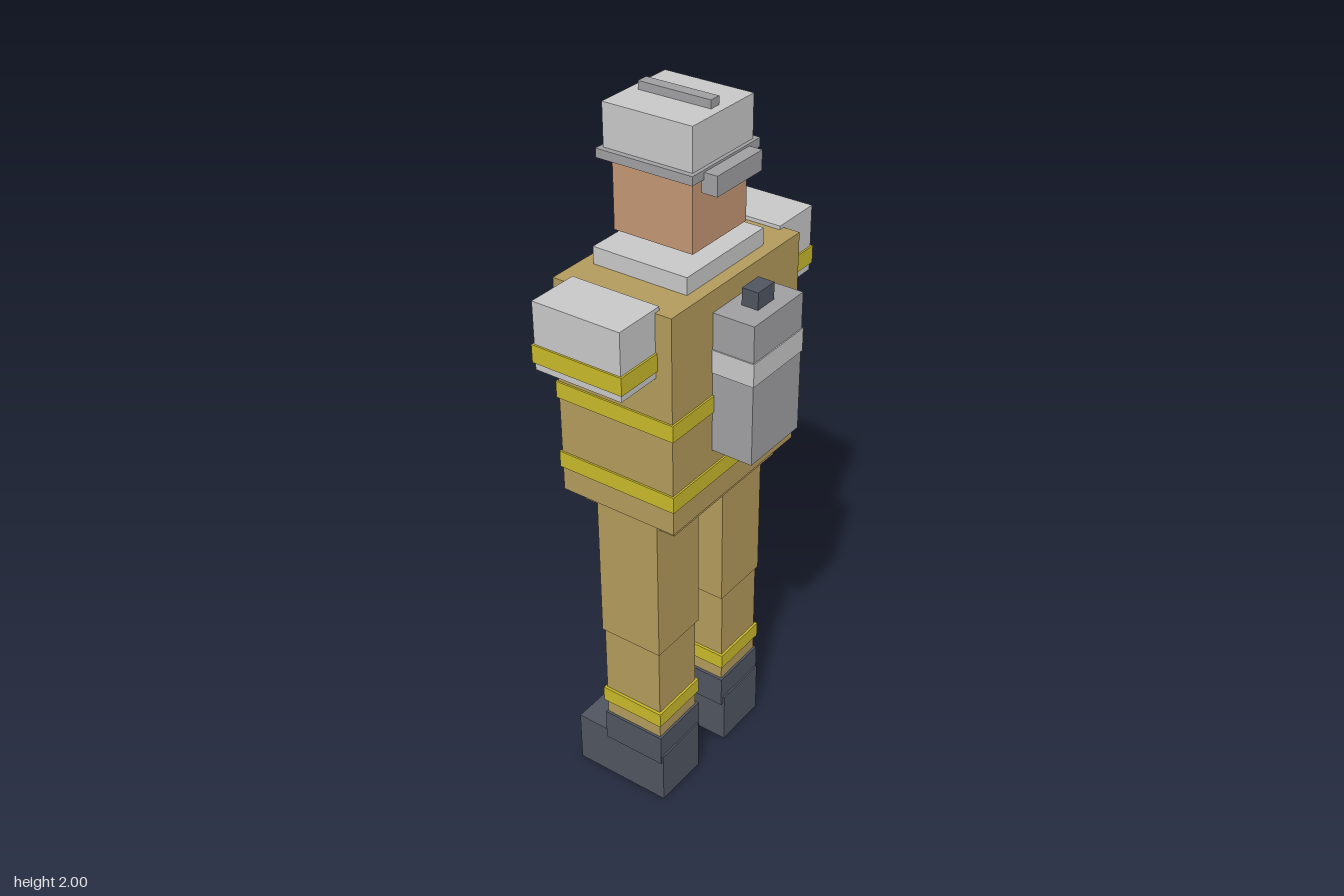
import * as THREE from 'three';

const mat = (name, color) => {
  const m = new THREE.MeshStandardMaterial({ color });
  m.name = name;
  return m;
};

export function createModel() {
  const tan = mat('tan cloth', 0xb39b5c);
  const yellow = mat('reflective yellow', 0xc9b92b);
  const light = mat('light grey', 0xc8c8c8);
  const grey = mat('mid grey', 0xa09fa2);
  const dark = mat('dark slate', 0x505560);
  const skin = mat('skin', 0xc49674);

  const model = new THREE.Group();
  model.name = 'firefighter';

  // Adds a box given its extents along each axis
  const box = (name, material, [x0, x1], [y0, y1], [z0, z1], parent = model) => {
    const mesh = new THREE.Mesh(new THREE.BoxGeometry(x1 - x0, y1 - y0, z1 - z0), material);
    mesh.position.set((x0 + x1) / 2, (y0 + y1) / 2, (z0 + z1) / 2);
    mesh.name = name;
    parent.add(mesh);
  };
  // Box centred on x = 0
  const mid = (name, material, half, y, z) => box(name, material, [-half, half], y, z);
  // Box on one side, mirrored by sign
  const side = (s, name, material, [a, b], y, z, parent) =>
    box(name, material, s > 0 ? [a, b] : [-b, -a], y, z, parent);

  for (const s of [1, -1]) {
    const label = s > 0 ? 'left' : 'right';

    // Leg with boot
    const leg = new THREE.Group();
    leg.name = label + 'Leg';
    model.add(leg);
    side(s, 'thigh', tan, [0.055, 0.235], [0.53, 0.97], [-0.143, 0.046], leg);
    side(s, 'shin', tan, [0.065, 0.229], [0.2, 0.53], [-0.139, 0.041], leg);
    side(s, 'ankleBand', yellow, [0.057, 0.237], [0.275, 0.32], [-0.146, 0.048], leg);
    side(s, 'bootShaft', dark, [0.056, 0.236], [0.135, 0.23], [-0.143, 0.048], leg);
    side(s, 'bootFoot', dark, [0.065, 0.233], [0, 0.16], [-0.241, 0.053], leg);

    // Short sleeve with cuff band
    const arm = new THREE.Group();
    arm.name = label + 'Arm';
    model.add(arm);
    side(s, 'sleeve', light, [0.25, 0.397], [1.413, 1.594], [-0.176, 0.075], arm);
    side(s, 'cuffBand', yellow, [0.247, 0.402], [1.433, 1.481], [-0.181, 0.08], arm);
  }

  // Coat
  mid('hips', tan, 0.225, [0.938, 1.0], [-0.188, 0.092]);
  mid('coat', tan, 0.267, [0.98, 1.584], [-0.222, 0.121]);
  for (const y of [1.05, 1.255]) mid('coatBand', yellow, 0.272, [y, y + 0.046], [-0.227, 0.126]);
  mid('coatZip', dark, 0.016, [0.98, 1.548], [-0.232, -0.21]);
  mid('collar', light, 0.158, [1.58, 1.63], [-0.187, 0.086]);

  // Air tank
  mid('tank', grey, 0.104, [1.142, 1.526], [0.119, 0.237]);
  mid('tankBand', light, 0.107, [1.365, 1.428], [0.119, 0.24]);
  mid('tankValve', dark, 0.034, [1.52, 1.572], [0.154, 0.2]);

  // Head
  mid('neck', skin, 0.056, [1.61, 1.68], [-0.105, 0.009]);
  mid('head', skin, 0.109, [1.662, 1.86], [-0.16, 0.067]);
  mid('eyeSlit', dark, 0.065, [1.78, 1.804], [-0.166, -0.158]);

  // Helmet
  mid('helmetBrim', grey, 0.135, [1.846, 1.869], [-0.187, 0.085]);
  mid('helmetShell', light, 0.12, [1.862, 1.979], [-0.176, 0.075]);
  mid('helmetCrest', grey, 0.016, [1.975, 2.0], [-0.152, 0.051]);
  mid('helmetBadge', yellow, 0.045, [1.888, 1.968], [-0.181, -0.174]);
  mid('helmetFlap', grey, 0.09, [1.812, 1.863], [0.078, 0.121]);

  return model;
}
